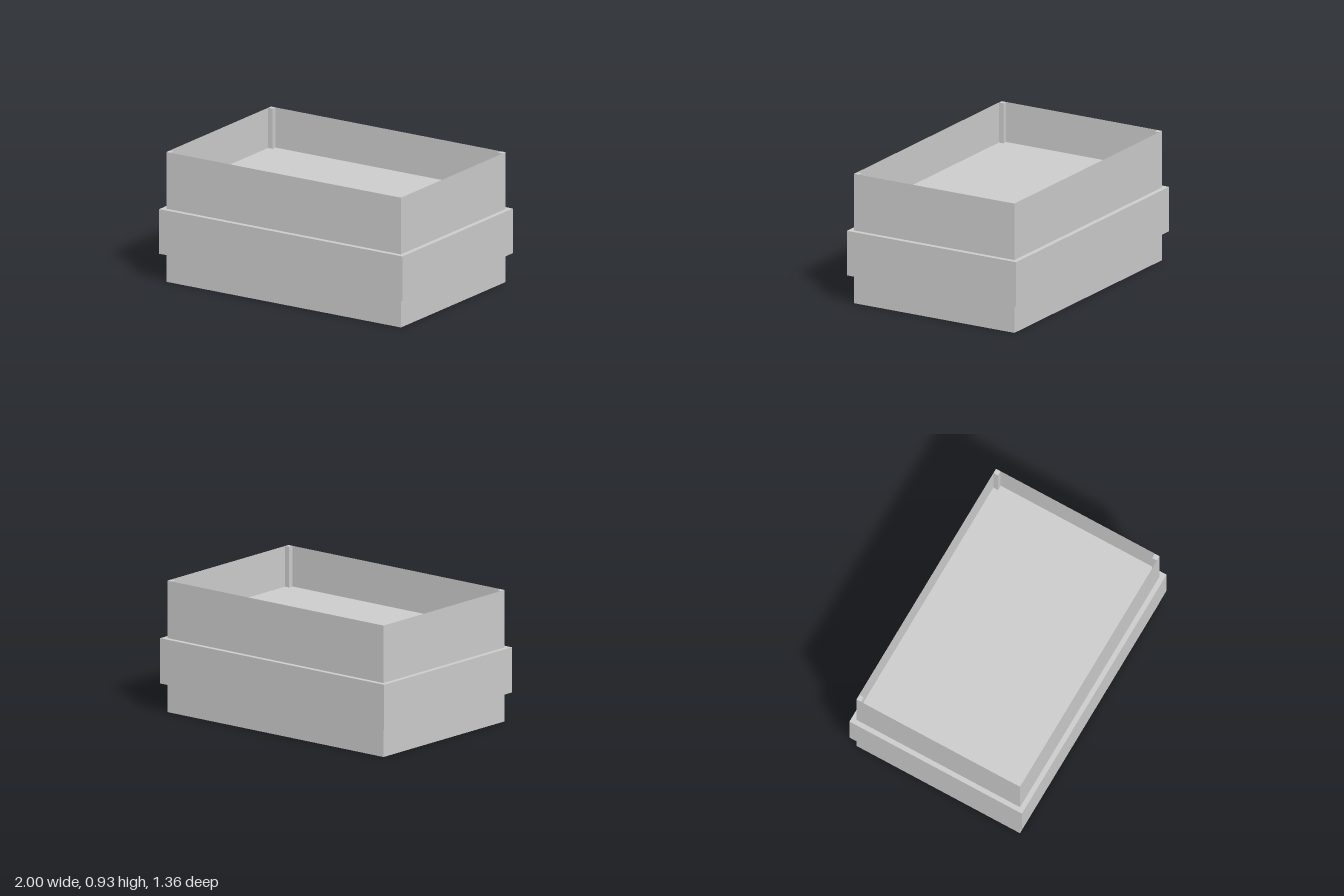
import * as THREE from 'three';

const X = 0.965, Z = 0.643, H = 0.927; // half width, half depth and height of the tray
const FLOOR = 0.64;                    // height of the raised floor
const BAND = { x: 1, z: 0.678, y0: 0.203, y1: 0.522 };
const POST = 0.036;

const grey = new THREE.MeshStandardMaterial({ color: 0xcccccc, flatShading: true });
const sheet = new THREE.MeshStandardMaterial({ color: 0xcccccc, flatShading: true, side: THREE.DoubleSide });

function add(parent, name, geometry, material, x = 0, y = 0, z = 0) {
  const mesh = new THREE.Mesh(geometry, material);
  mesh.name = name;
  mesh.position.set(x, y, z);
  parent.add(mesh);
  return mesh;
}

function rectangle(PathType, x, z) {
  return new PathType([[-x, -z], [x, -z], [x, z], [-x, z]].map(([a, b]) => new THREE.Vector2(a, b)));
}

export function createModel() {
  const model = new THREE.Group();
  model.name = 'tray';

  // Thin outer walls, full height
  for (const s of [1, -1]) {
    add(model, s > 0 ? 'frontWall' : 'backWall', new THREE.PlaneGeometry(2 * X, H), sheet, 0, H / 2, s * Z)
      .rotation.y = s > 0 ? 0 : Math.PI;
    add(model, s > 0 ? 'leftWall' : 'rightWall', new THREE.PlaneGeometry(2 * Z, H), sheet, s * X, H / 2, 0)
      .rotation.y = s * Math.PI / 2;
  }

  // Underside and raised floor
  add(model, 'bottom', new THREE.PlaneGeometry(2 * X, 2 * Z), sheet).rotation.x = Math.PI / 2;
  add(model, 'floor', new THREE.PlaneGeometry(2 * X, 2 * Z), sheet, 0, FLOOR, 0).rotation.x = -Math.PI / 2;

  // Corner posts standing on the floor, just inside the walls
  const inset = POST / 2 + 0.001;
  for (const sx of [1, -1]) for (const sz of [1, -1]) {
    add(model, 'cornerPost', new THREE.BoxGeometry(POST, H - FLOOR, POST), grey,
      sx * (X - inset), (H + FLOOR) / 2, sz * (Z - inset));
  }

  // Raised band wrapped around the middle
  const ring = rectangle(THREE.Shape, BAND.x, BAND.z);
  ring.holes.push(rectangle(THREE.Path, X, Z));
  const bandGeometry = new THREE.ExtrudeGeometry(ring, { depth: BAND.y1 - BAND.y0, bevelEnabled: false });
  bandGeometry.rotateX(-Math.PI / 2);
  add(model, 'band', bandGeometry, grey, 0, BAND.y0, 0);

  return model;
}
